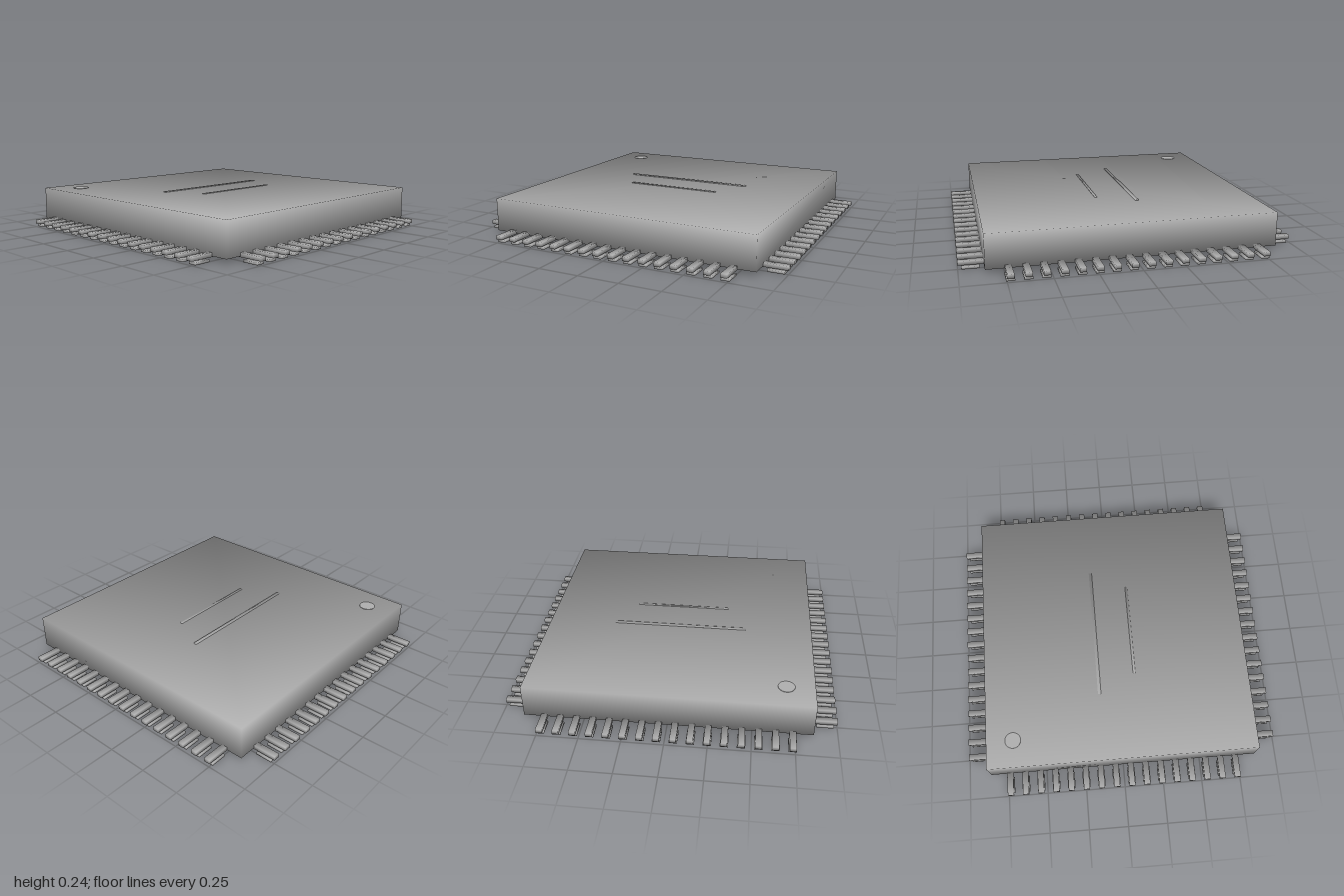
import * as THREE from 'three';

// Box whose normals blend softly over every edge, spanning min..max on each axis
function softBox(x0, x1, y0, y1, z0, z1) {
  const g = new THREE.BoxGeometry(x1 - x0, y1 - y0, z1 - z0);
  const p = g.attributes.position;
  const n = new THREE.Vector3();
  for (let i = 0; i < p.count; i++) {
    n.set(Math.sign(p.getX(i)), Math.sign(p.getY(i)), Math.sign(p.getZ(i))).normalize();
    g.attributes.normal.setXYZ(i, n.x, n.y, n.z);
  }
  g.translate((x0 + x1) / 2, (y0 + y1) / 2, (z0 + z1) / 2);
  return g;
}

export function createModel() {
  const model = new THREE.Group();
  model.name = 'chip';
  const grey = new THREE.MeshStandardMaterial({ color: 0xb0b0b0 });
  grey.name = 'grey';

  const add = (parent, name, geometry) => {
    const mesh = new THREE.Mesh(geometry, grey);
    mesh.name = name;
    parent.add(mesh);
    return mesh;
  };

  // Package body
  const top = 0.233;
  add(model, 'body', softBox(-0.857, 0.857, 0.027, top, -0.857, 0.857));

  // Raised marking bars on the top
  add(model, 'longBar', softBox(-0.43, 0.425, top - 0.005, top + 0.005, -0.13, -0.11));
  add(model, 'shortBar', softBox(-0.308, 0.304, top - 0.005, top + 0.004, 0.108, 0.123));

  // Round marker for the first pin
  const dot = add(model, 'pinOneMarker', new THREE.CylinderGeometry(0.05, 0.05, 0.006, 32));
  dot.position.set(-0.687, top, -0.687);

  // Sixteen leads along each side, each with a wider foot pad below
  const count = 16, first = -0.735, pitch = 0.0977;
  const lead = softBox(-0.019, 0.019, 0.022, 0.046, 0.84, 1);
  const foot = softBox(-0.024, 0.024, 0, 0.013, 0.88, 0.98);
  const sides = ['front', 'left', 'back', 'right'];
  sides.forEach((side, s) => {
    const row = new THREE.Group();
    row.name = side + 'Pins';
    row.rotation.y = s * Math.PI / 2;
    // Keep the small shared offset of all rows toward -x and -z
    const mirror = s === 0 || s === 3 ? 1 : -1;
    for (let i = 0; i < count; i++) {
      const x = (first + i * pitch) * (s === 1 || s === 2 ? mirror : 1);
      add(row, 'lead', lead).position.x = x;
      add(row, 'foot', foot).position.x = x;
    }
    model.add(row);
  });

  return model;
}
